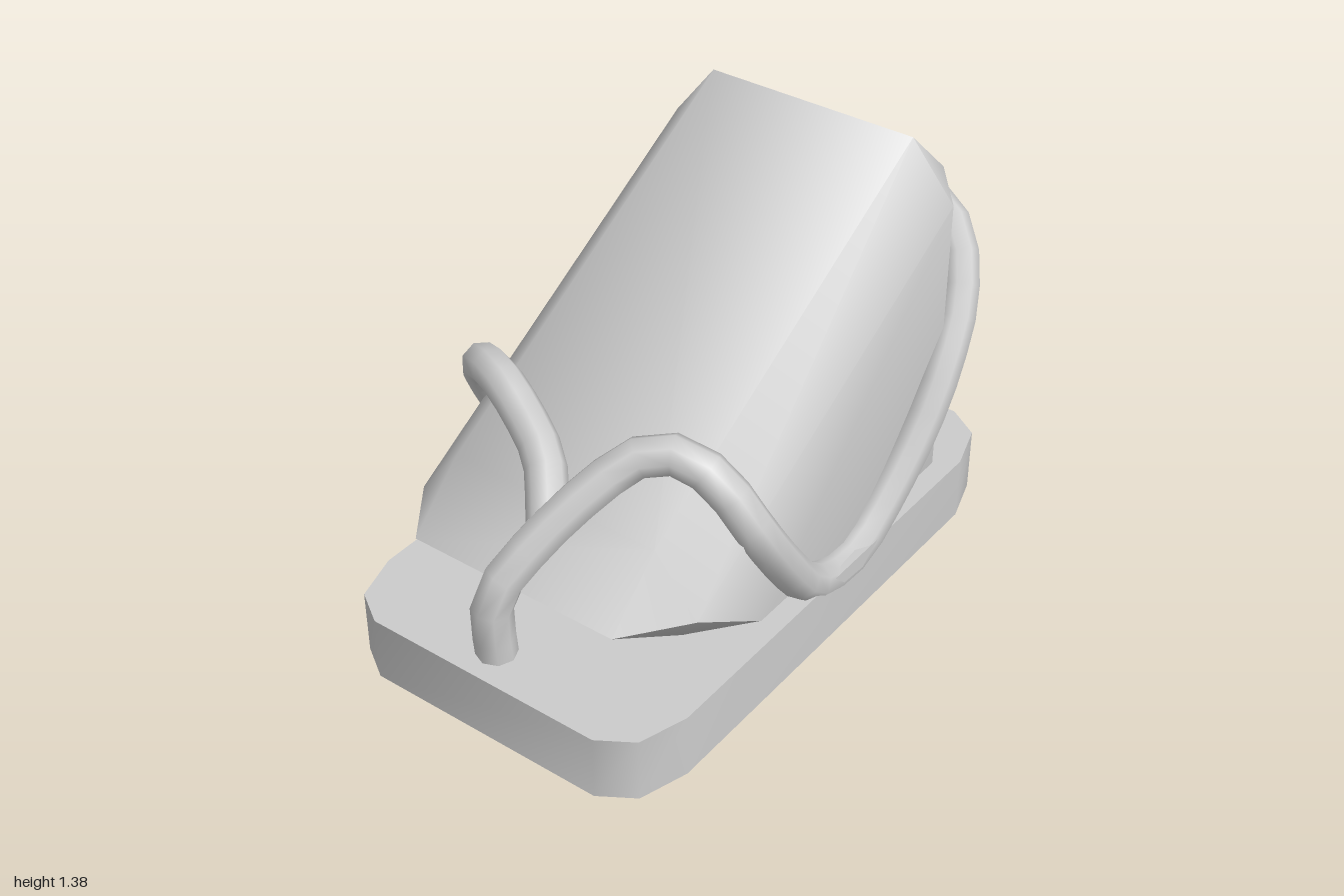
import * as THREE from 'three';
import { toCreasedNormals } from 'three/addons/utils/BufferGeometryUtils.js';

const material = new THREE.MeshStandardMaterial({ color: 0xcccccc, side: THREE.DoubleSide });

function addMesh(group, name, geometry) {
  const mesh = new THREE.Mesh(geometry, material);
  mesh.name = name;
  group.add(mesh);
}

// Skin a stack of rings (counter-clockwise seen from above), capped at both ends
function loft(rings) {
  const n = rings[0].length;
  const index = [];
  for (let r = 0; r < rings.length - 1; r++) {
    for (let i = 0; i < n; i++) {
      const a = r * n + i, b = r * n + (i + 1) % n;
      index.push(a, b, b + n, a, b + n, a + n);
    }
  }
  const top = (rings.length - 1) * n;
  for (let i = 1; i < n - 1; i++) {
    index.push(0, i + 1, i, top, top + i, top + i + 1);
  }
  const geometry = new THREE.BufferGeometry();
  geometry.setAttribute('position', new THREE.Float32BufferAttribute(rings.flat(2), 3));
  geometry.setIndex(index);
  return toCreasedNormals(geometry, 0.9);
}

// Octagonal ring given by its right half, front to back, mirrored to the left
function ring(half) {
  return [...half, ...half.map(([x, y, z]) => [-x, y, z]).reverse()];
}

function strap(points) {
  const curve = new THREE.CatmullRomCurve3(points.map((p) => new THREE.Vector3(...p)));
  return new THREE.TubeGeometry(curve, points.length * 2, 0.064, 8, false);
}

export function createModel() {
  const group = new THREE.Group();

  // Sole: flat slab with faceted round corners
  const corner = [[0.415, 0.975], [0.525, 0.905], [0.575, 0.745]];
  const quarter = (sx, sz) => corner.map(([x, z]) => [x * sx, z * sz]);
  const outline = [
    ...quarter(1, 1).reverse(), ...quarter(-1, 1),
    ...quarter(-1, -1).reverse(), ...quarter(1, -1),
  ].reverse();
  const soleRing = (y) => outline.map(([x, z]) => [x + 0.015, y, z + 0.025]).reverse();
  const ccw = (pts) => {
    let area = 0;
    pts.forEach(([x, , z], i) => {
      const [u, , w] = pts[(i + 1) % pts.length];
      area += z * u - x * w;
    });
    return area > 0 ? pts : pts.reverse();
  };
  addMesh(group, 'sole', loft([ccw(soleRing(0)), ccw(soleRing(0.22))]));

  // Foot: wedge block with bevelled edges and an undercut toe
  addMesh(group, 'foot', loft([
    ring([[0.37, 0.2, 0.47], [0.52, 0.2, 0.28], [0.52, 0.2, -0.66], [0.37, 0.2, -0.85]]),
    ring([[0.37, 0.44, 0.83], [0.52, 0.44, 0.63], [0.52, 1.19, -0.66], [0.37, 1.19, -0.85]]),
    ring([[0.37, 0.63, 0.63], [0.37, 0.63, 0.63], [0.37, 1.38, -0.65], [0.37, 1.38, -0.65]]),
  ]));

  // Long strap: toe post, over the left of the foot, along the sole and around the heel
  addMesh(group, 'longStrap', strap([
    [-0.02, 0.18, 0.88], [-0.02, 0.43, 0.88], [0.04, 0.58, 0.76], [0.13, 0.72, 0.6],
    [0.21, 0.8, 0.49], [0.32, 0.815, 0.43], [0.43, 0.75, 0.4], [0.53, 0.6, 0.36],
    [0.55, 0.42, 0.25], [0.54, 0.25, 0.11], [0.53, 0.18, -0.02], [0.53, 0.18, -0.18],
    [0.54, 0.3, -0.34], [0.55, 0.47, -0.5], [0.545, 0.62, -0.62], [0.5, 0.8, -0.78],
    [0.4, 0.96, -0.89], [0.25, 1.03, -0.93], [-0.25, 1.02, -0.92], [-0.42, 0.92, -0.87],
    [-0.5, 0.77, -0.75], [-0.52, 0.6, -0.6], [-0.52, 0.38, -0.4], [-0.52, 0.16, -0.2],
  ]));

  // Short strap: from the long strap over the right of the foot to the sole
  addMesh(group, 'shortStrap', strap([
    [0.03, 0.61, 0.69], [-0.08, 0.71, 0.57], [-0.22, 0.78, 0.5], [-0.35, 0.825, 0.45],
    [-0.47, 0.79, 0.39], [-0.535, 0.66, 0.3], [-0.55, 0.5, 0.21], [-0.545, 0.34, 0.08],
    [-0.52, 0.16, -0.06],
  ]));

  return group;
}
